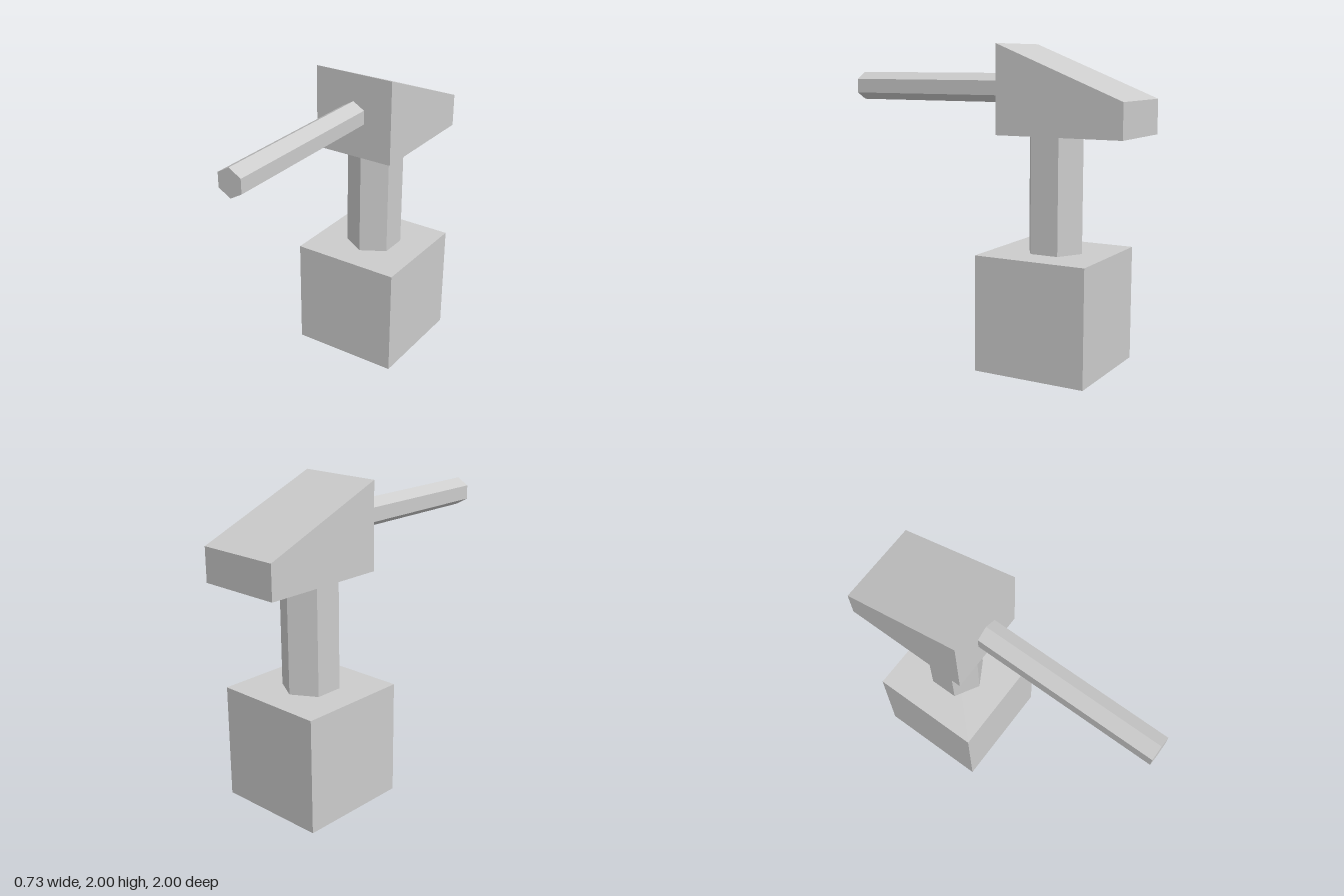
import * as THREE from 'three';

export function createModel() {
  const group = new THREE.Group();
  const material = new THREE.MeshStandardMaterial({ color: 0xcccccc, flatShading: true });
  const centreZ = -0.455;

  const add = (name, geometry, x, y, z) => {
    const mesh = new THREE.Mesh(geometry, material);
    mesh.name = name;
    mesh.position.set(x, y, z);
    group.add(mesh);
  };

  // Cube base
  const baseSize = 0.727;
  add('base', new THREE.BoxGeometry(baseSize, baseSize, baseSize), 0, baseSize / 2, centreZ);

  // Hexagonal post, corners to front and back
  const headBottom = 1.455;
  const postHeight = headBottom - baseSize;
  add('post', new THREE.CylinderGeometry(0.182, 0.182, postHeight, 6), 0, baseSize + postHeight / 2, centreZ);

  // Wedge head: side profile in (z, y), extruded across x
  const headWidth = 0.546;
  const headFront = -0.182;
  const profile = new THREE.Shape([
    new THREE.Vector2(headFront, headBottom),
    new THREE.Vector2(headFront, 2),
    new THREE.Vector2(-1, 1.67),
    new THREE.Vector2(-1, headBottom),
  ]);
  const head = new THREE.ExtrudeGeometry(profile, { depth: headWidth, bevelEnabled: false });
  head.translate(0, 0, -headWidth / 2).rotateY(-Math.PI / 2);
  add('head', head, 0, 0, 0);

  // Hexagonal barrel, corners up and down
  const barrelLength = 1 - headFront;
  const barrel = new THREE.CylinderGeometry(0.091, 0.091, barrelLength, 6).rotateX(Math.PI / 2);
  add('barrel', barrel, 0, 1.73, headFront + barrelLength / 2);

  return group;
}
